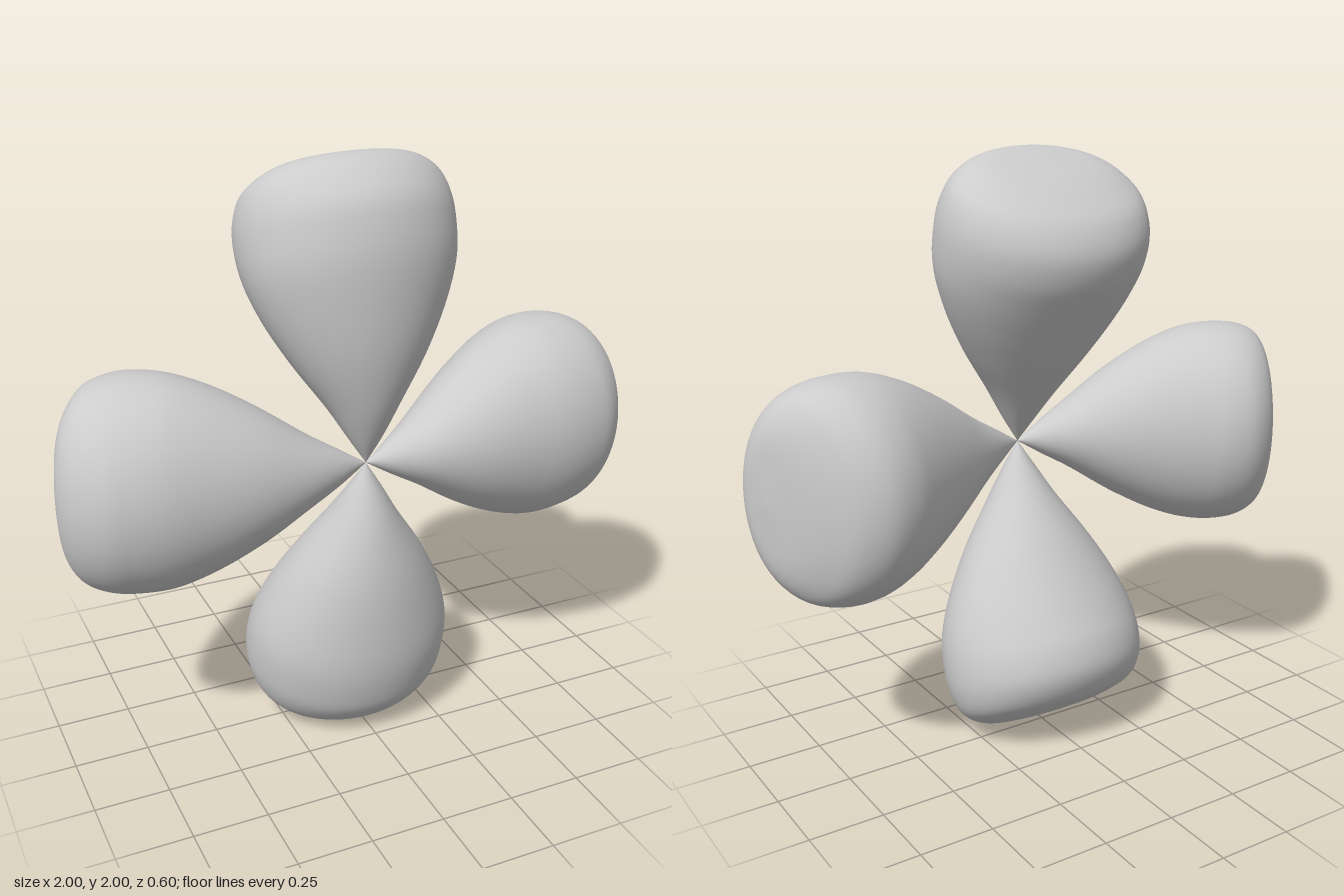
import * as THREE from 'three';

// Petal sections: [front reach, front z, back reach, back z, half width]
const SECTIONS = [
  [0, 0.155, 0, 0.155, 0],
  [0.1, 0.205, 0.08, 0.095, 0.057],
  [0.22, 0.25, 0.17, 0.025, 0.12],
  [0.4, 0.288, 0.3, -0.075, 0.225],
  [0.58, 0.3, 0.41, -0.155, 0.305],
  [0.72, 0.298, 0.51, -0.225, 0.35],
  [0.82, 0.28, 0.6, -0.28, 0.362],
  [0.89, 0.255, 0.69, -0.3, 0.357],
  [0.95, 0.205, 0.78, -0.27, 0.332],
  [0.985, 0.155, 0.85, -0.2, 0.283],
  [1.0, 0.1, 0.905, -0.125, 0.21],
  [0.985, 0.035, 0.95, -0.045, 0.08],
  [0.972, -0.003, 0.972, -0.003, 0],
];

// Smooth teardrop: slanted elliptical rings spanning the front and back edges
function petalGeometry(rings = 72, sides = 64) {
  const front = new THREE.CatmullRomCurve3(
    SECTIONS.map(([r, z, , , w]) => new THREE.Vector3(w, r, z)));
  const back = new THREE.CatmullRomCurve3(
    SECTIONS.map(([, , r, z, w]) => new THREE.Vector3(w, r, z)));
  const positions = [], index = [];
  for (let i = 0; i <= rings; i++) {
    const f = front.getPoint(i / rings), b = back.getPoint(i / rings);
    const width = (f.x + b.x) / 2;
    for (let j = 0; j < sides; j++) {
      const a = (j / sides) * Math.PI * 2;
      const t = (1 + Math.cos(a)) / 2;
      positions.push(
        width * Math.sin(a),
        THREE.MathUtils.lerp(b.y, f.y, t),
        THREE.MathUtils.lerp(b.z, f.z, t));
      if (i < rings) {
        const p = i * sides + j, q = i * sides + (j + 1) % sides;
        if (i > 0) index.push(p, q, p + sides);
        if (i < rings - 1) index.push(q, q + sides, p + sides);
        else index.push(p, q, p + sides);
      }
    }
  }
  const geometry = new THREE.BufferGeometry();
  geometry.setAttribute('position', new THREE.Float32BufferAttribute(positions, 3));
  geometry.setIndex(index);
  geometry.computeVertexNormals();
  return geometry;
}

export function createModel() {
  const group = new THREE.Group();
  group.name = 'fourPetalFlower';
  const material = new THREE.MeshStandardMaterial({ color: 0xcccccc });
  const geometry = petalGeometry();

  // Four petals meeting tip to tip at the centre
  ['topPetal', 'rightPetal', 'bottomPetal', 'leftPetal'].forEach((name, i) => {
    const petal = new THREE.Mesh(geometry, material);
    petal.name = name;
    petal.position.y = 1;
    petal.rotation.z = i * Math.PI / 2;
    group.add(petal);
  });
  return group;
}
